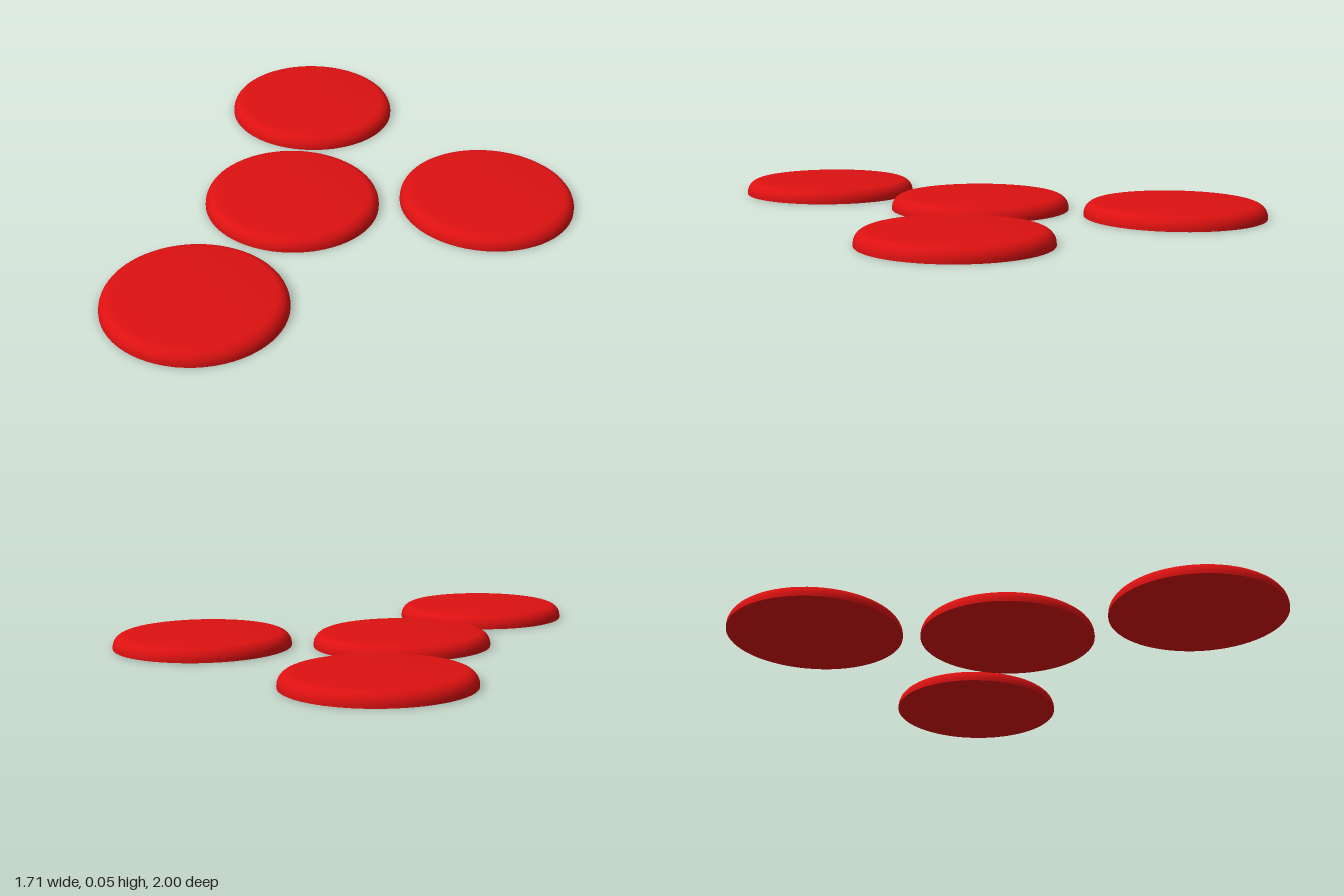
import * as THREE from 'three';
import { toCreasedNormals } from 'three/addons/utils/BufferGeometryUtils.js';

const RADIUS = 0.347, HEIGHT = 0.055, ROUND = 0.047;

// Flat-bottomed disc with a rounded upper rim
function discGeometry() {
  const profile = [new THREE.Vector2(0, 0), new THREE.Vector2(RADIUS, 0)];
  const steps = 6;
  for (let i = 0; i <= steps; i++) {
    const a = (i / steps) * Math.PI / 2;
    profile.push(new THREE.Vector2(
      RADIUS - ROUND + ROUND * Math.cos(a),
      HEIGHT - ROUND + ROUND * Math.sin(a)
    ));
  }
  profile.push(new THREE.Vector2(0, HEIGHT));
  return toCreasedNormals(new THREE.LatheGeometry(profile, 64), Math.PI / 6);
}

export function createModel() {
  const group = new THREE.Group();
  group.name = 'discs';
  const material = new THREE.MeshStandardMaterial({ color: 0xdd1111 });
  const geometry = discGeometry();

  // Name and centre (x, z) of each disc
  const discs = [
    ['backRightDisc', -0.509, -0.653],
    ['backLeftDisc', 0.507, -0.653],
    ['middleDisc', -0.013, -0.073],
    ['frontDisc', 0.25, 0.651],
  ];
  for (const [name, x, z] of discs) {
    const disc = new THREE.Mesh(geometry, material);
    disc.name = name;
    disc.position.set(x, 0, z);
    group.add(disc);
  }
  return group;
}
